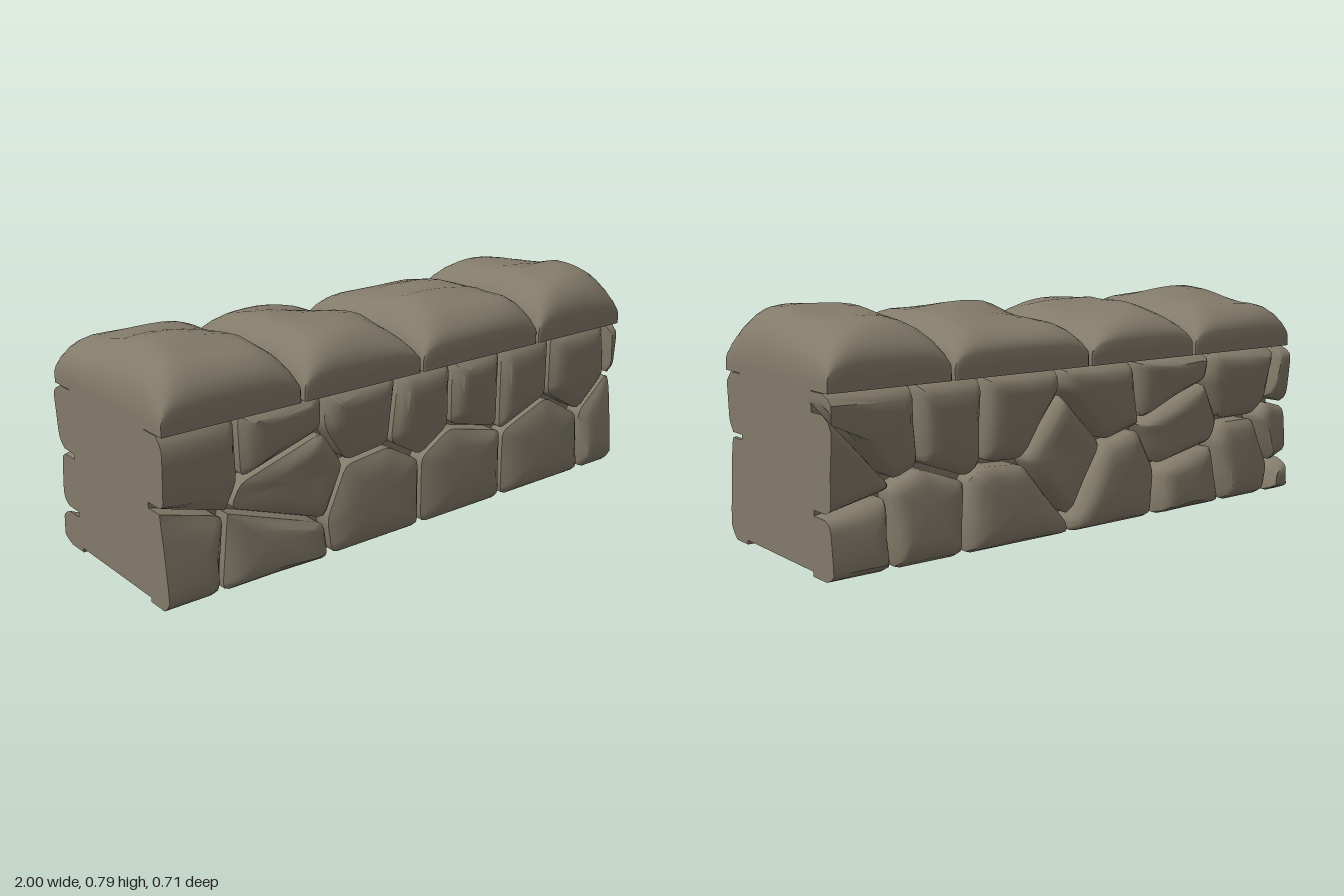
import * as THREE from 'three';
import { toCreasedNormals } from 'three/addons/utils/BufferGeometryUtils.js';

const stone = new THREE.MeshStandardMaterial({ color: 0x837b6a });
stone.name = 'weathered stone';

// Stone centres on each long side (x, y); each stone fills the area nearest its centre
const FRONT = [
  [-0.98, 0.12], [-0.6, 0.08], [-0.52, 0.3], [-0.17, 0.14], [0.22, 0.14],
  [0.62, 0.14], [1.06, 0.17], [-0.87, 0.49], [-0.58, 0.5], [-0.21, 0.5],
  [0.02, 0.47], [0.3, 0.47], [0.5, 0.47], [0.81, 0.47], [1.12, 0.51],
];
const BACK = [
  [0.89, 0.125], [0.68, 0.13], [0.33, 0.1], [0.09, 0.3], [-0.16, 0.14], [-0.45, 0.3],
  [-0.49, 0.1], [-0.79, 0.15], [-1.0, 0.24], [-1.08, 0.06], [0.93, 0.31], [0.8, 0.43],
  [0.56, 0.45], [0.31, 0.45], [-0.08, 0.46], [-0.37, 0.51], [-0.79, 0.46], [-1.05, 0.42],
];
const JOINT = 0.009; // half the joint width
const STONE_TOP = 0.565;

// Cut the wall face down to one stone, leaving a joint against every neighbour
function stoneCell(centres, index) {
  const here = new THREE.Vector2(...centres[index]);
  let cell = [[-1, 0], [1, 0], [1, STONE_TOP], [-1, STONE_TOP]].map(p => new THREE.Vector2(...p));
  centres.forEach((other, k) => {
    if (k === index) return;
    const there = new THREE.Vector2(...other);
    const dir = there.clone().sub(here).normalize();
    const limit = here.clone().add(there).multiplyScalar(0.5).dot(dir) - JOINT;
    const kept = [];
    cell.forEach((a, i) => {
      const b = cell[(i + 1) % cell.length];
      const da = limit - a.dot(dir), db = limit - b.dot(dir);
      if (da >= 0) kept.push(a);
      if (da * db < 0) kept.push(a.clone().lerp(b, da / (da - db)));
    });
    cell = kept;
  });
  return cell;
}

// Outline with corners eased, except where the wall is cut at its ends
function easedOutline(p) {
  const out = [];
  p.forEach((b, i) => {
    const a = p[(i + p.length - 1) % p.length], c = p[(i + 1) % p.length];
    if (Math.abs(b.x) === 1) {
      out.push(b.clone());
    } else {
      const toward = q => b.clone().lerp(q, Math.min(0.3, 0.025 / b.distanceTo(q)));
      const s = toward(a), e = toward(c);
      const mid = s.clone().add(e).multiplyScalar(0.25).addScaledVector(b, 0.5);
      out.push(s, mid, e);
    }
    out.push(b.clone().lerp(c, 0.5));
  });
  return out;
}

// A worn stone: upright rim, soft shoulder and a face leaning out at the wall's foot and top
function stoneGeometry(cell, side, seed) {
  const outline = easedOutline(cell);
  const n = outline.length;
  const c = outline.reduce((s, p) => s.add(p), new THREE.Vector2()).divideScalar(n);
  const tiltX = Math.sin(seed * 12.9) * 0.06, tiltY = Math.sin(seed * 7.3 + 1) * 0.03;
  const base = side > 0 ? 0.23 : 0.215, rim = side > 0 ? 0.309 : 0.297;
  const lean = q => 0.085 * Math.abs(q.y - 0.3) + (q.x - c.x) * tiltX + (q.y - c.y) * tiltY;
  const ring = (share, inset, z, leaning) => outline.map(p => {
    const q = p.clone().lerp(c, Math.min(0.6, share + inset / p.distanceTo(c)));
    if (Math.abs(p.x) === 1) q.x = p.x;
    return [q.x, q.y, side * (z + leaning * lean(q))];
  });
  const rings = [ring(0, 0, base, 0), ring(0, 0, rim, 0), ring(0.04, 0.012, 0.316, 0.5),
    ring(0.16, 0.016, 0.322, 1), ring(0.5, 0, 0.325, 1)];
  const v = [];
  const tri = (a, b, d) => (side > 0 ? v.push(...a, ...b, ...d) : v.push(...a, ...d, ...b));
  const centre = [c.x, c.y, side * (0.326 + lean(c))], back = [c.x, c.y, side * base];
  for (let i = 0; i < n; i++) {
    const j = (i + 1) % n;
    for (let r = 0; r < rings.length - 1; r++) {
      const lo = rings[r], hi = rings[r + 1];
      tri(lo[i], lo[j], hi[j]);
      tri(lo[i], hi[j], hi[i]);
    }
    const top = rings[rings.length - 1];
    tri(top[i], top[j], centre);
    tri(rings[0][j], rings[0][i], back);
  }
  const g = new THREE.BufferGeometry();
  g.setAttribute('position', new THREE.Float32BufferAttribute(v, 3));
  return toCreasedNormals(g, 0.75);
}

// Coping block: a box whose top is domed, worn and sloped toward the back
function capGeometry({ x0, x1, peak, slope, seed }) {
  const g = new THREE.BoxGeometry(2, 1, 2, 16, 2, 20);
  const pos = g.attributes.position;
  const w = x1 - x0;
  const spread = t => Math.sin(t * Math.PI / 2);
  const round = (d, r) => Math.sqrt(1 - (1 - Math.min(1, d / r)) ** 2);
  for (let i = 0; i < pos.count; i++) {
    const s = spread(pos.getX(i)), t = spread(pos.getZ(i)), f = pos.getY(i) + 0.5;
    let x = (x0 + x1) / 2 + s * w / 2;
    const z = 0.007 + t * 0.337;
    const dx = (1 - Math.abs(s)) * w / 2, dz = (1 - Math.abs(t)) * 0.337;
    const crown = peak - (z > 0.11 ? 0.14 : 0.125) * Math.abs(z - 0.11) + slope * s - 0.025 * s * s
      + 0.006 * Math.sin(s * 3 + t * 4 + seed * 2) + 0.004 * Math.sin(t * 7 - s * 2 + seed);
    const rx = round(dx, 0.12);
    const edge = 0.605 + 0.04 * rx;
    const top = edge + (crown - edge) * rx * round(dz, 0.11);
    // ease the upright corners
    if (dz < 0.001 && dx < 0.001 && Math.abs(x) < 0.99) x -= Math.sign(s) * 0.012;
    pos.setXYZ(i, x, 0.567 + f * (top - 0.567), z);
  }
  return toCreasedNormals(g, 0.75);
}

export function createModel() {
  const wall = new THREE.Group();
  wall.name = 'stoneWall';
  const add = (parent, geometry, name) => {
    const m = new THREE.Mesh(geometry, stone);
    m.name = name;
    parent.add(m);
    return m;
  };

  // Mortar core
  add(wall, new THREE.BoxGeometry(2, 0.585, 0.475), 'mortarCore').position.set(0, 0.3075, 0.0075);

  // Facing stones on both long sides
  [['frontStones', FRONT, 1], ['backStones', BACK, -1]].forEach(([name, centres, side]) => {
    const face = new THREE.Group();
    face.name = name;
    centres.forEach((_, i) =>
      add(face, stoneGeometry(stoneCell(centres, i), side, i + side * 3), 'facingStone' + (i + 1)));
    wall.add(face);
  });

  // Coping
  const caps = new THREE.Group();
  caps.name = 'copingStones';
  [
    { x0: -1, x1: -0.5, peak: 0.778, slope: -0.012, seed: 1 },
    { x0: -0.485, x1: -0.006, peak: 0.762, slope: -0.02, seed: 2.3 },
    { x0: 0.008, x1: 0.552, peak: 0.768, slope: 0.004, seed: 3.9 },
    { x0: 0.565, x1: 1, peak: 0.792, slope: 0, seed: 5.2 },
  ].forEach((c, i) => add(caps, capGeometry(c), 'copingStone' + (i + 1)));
  wall.add(caps);
  return wall;
}
